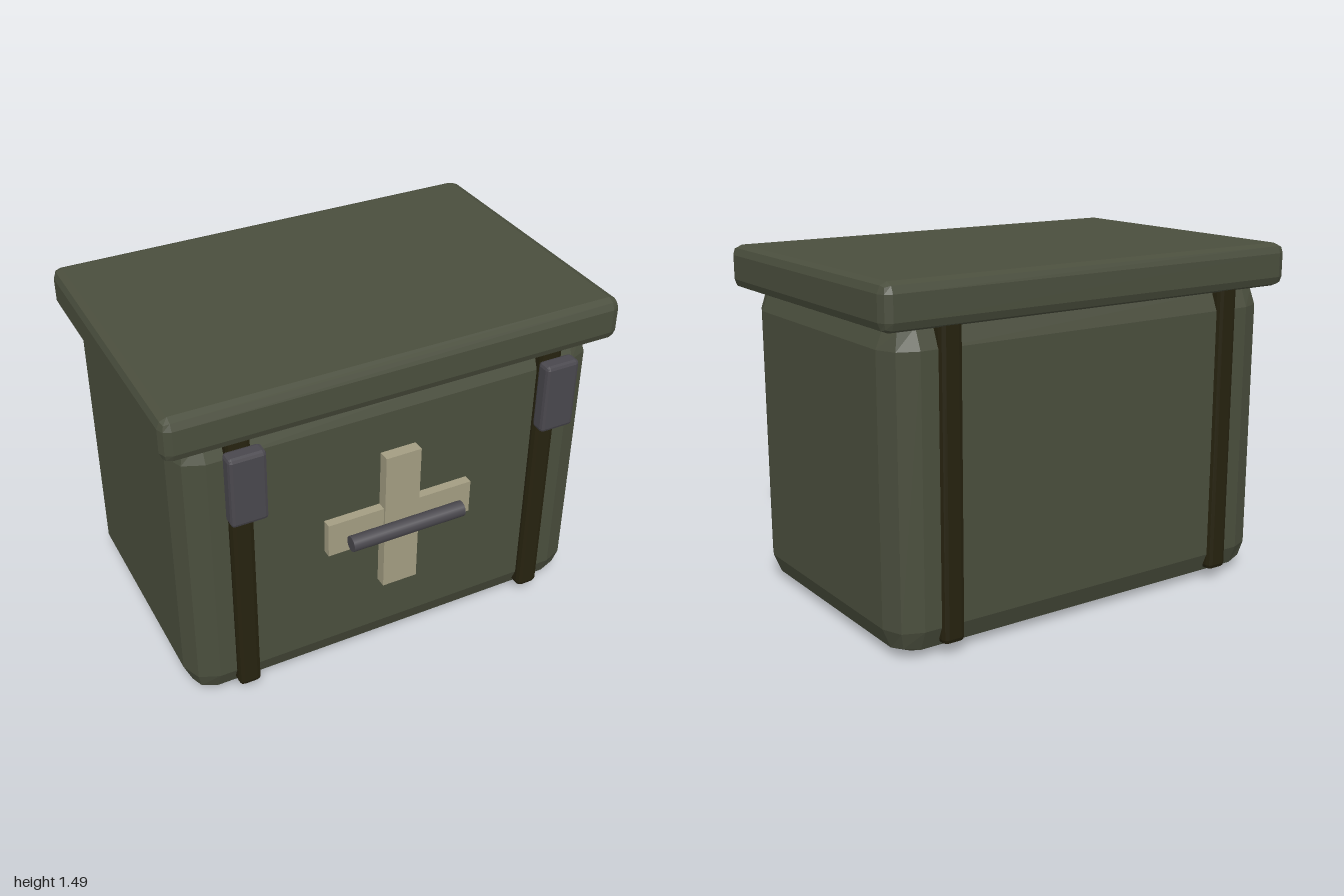
import * as THREE from 'three';
import { RoundedBoxGeometry } from 'three/addons/geometries/RoundedBoxGeometry.js';

function material(name, color) {
  const m = new THREE.MeshStandardMaterial({ color });
  m.name = name;
  return m;
}

export function createModel() {
  const group = new THREE.Group();
  const olive = material('olive case', 0x4a4e3d);
  const strapBrown = material('dark strap', 0x26220f);
  const metal = material('grey metal', 0x49474d);
  const beige = material('beige cross', 0xa39d82);

  function add(name, geometry, mat, x, y, z) {
    const mesh = new THREE.Mesh(geometry, mat);
    mesh.name = name;
    mesh.position.set(x, y, z);
    group.add(mesh);
    return mesh;
  }

  // Box between two corners; a bevel radius gives flat chamfered edges
  function block(name, mat, [x0, x1], [y0, y1], [z0, z1], bevel = 0) {
    const size = [x1 - x0, y1 - y0, z1 - z0];
    const geometry = bevel
      ? new RoundedBoxGeometry(...size, 1, bevel)
      : new THREE.BoxGeometry(...size);
    if (bevel) geometry.computeVertexNormals();
    return add(name, geometry, mat, (x0 + x1) / 2, (y0 + y1) / 2, (z0 + z1) / 2);
  }

  // Case and overhanging lid
  block('body', olive, [-0.94, 0.94], [0, 1.34], [-0.65, 0.57], 0.12);
  block('lid', olive, [-1, 1], [1.303, 1.49], [-0.7, 0.628], 0.042);

  // Straps run front to back through the case, each with a latch in front
  for (const [side, x] of [['left', 0.695], ['right', -0.695]]) {
    block(side + 'Strap', strapBrown, [x - 0.05, x + 0.05], [0.047, 1.36], [-0.67, 0.603], 0.022);
    block(side + 'Latch', metal, [x - 0.078, x + 0.078], [0.975, 1.292], [0.611, 0.682], 0.016);
  }

  // Cross emblem from two overlapping plates
  block('crossUpright', beige, [-0.08, 0.08], [0.367, 1.035], [0.56, 0.62]);
  block('crossBar', beige, [-0.333, 0.333], [0.62, 0.777], [0.56, 0.61]);

  // Round handle bar in front of the cross
  const bar = new THREE.CylinderGeometry(0.034, 0.034, 0.52, 16).rotateZ(Math.PI / 2);
  add('handle', bar, metal, 0, 0.7, 0.666);

  return group;
}
